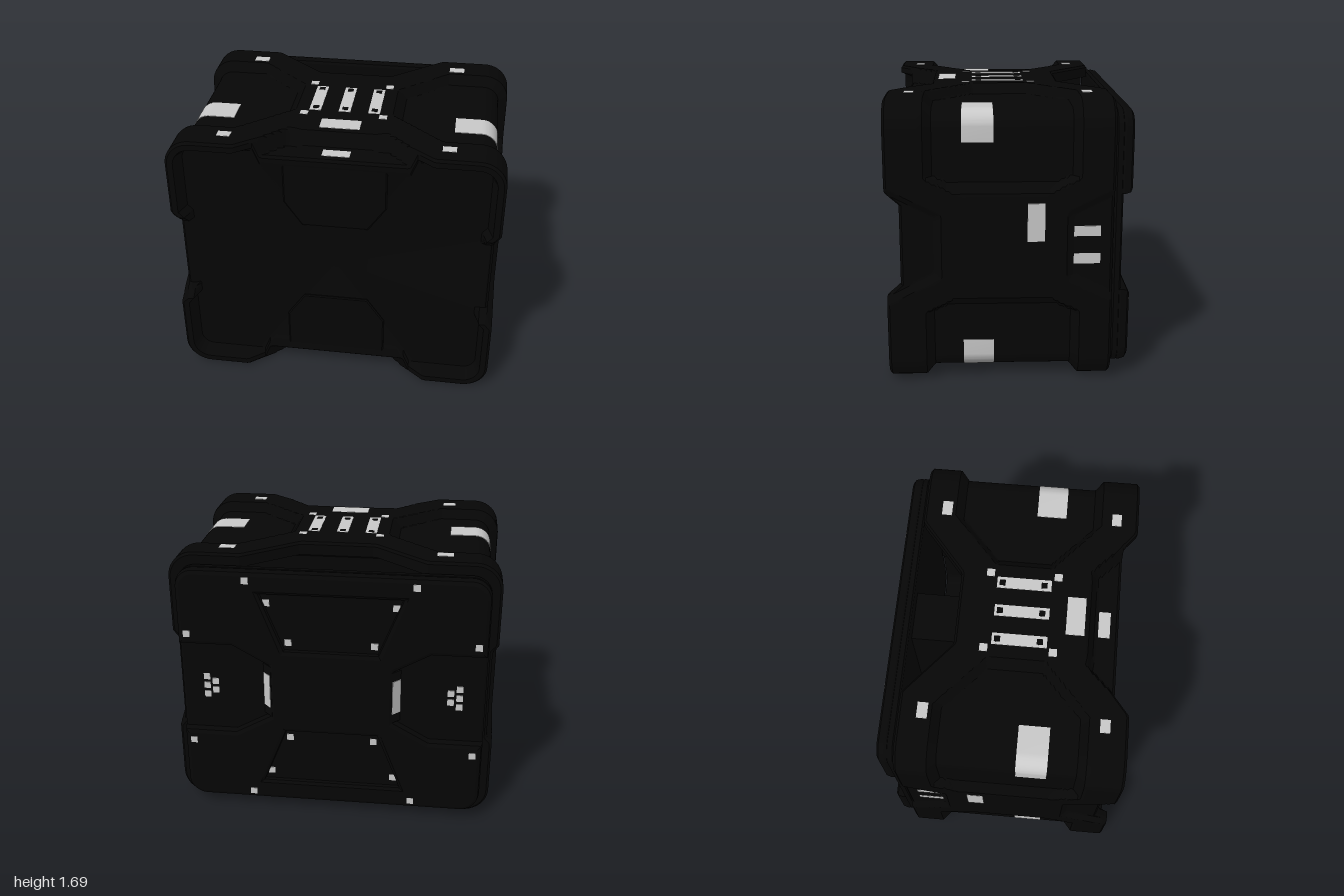
import * as THREE from 'three';
import { toCreasedNormals } from 'three/addons/utils/BufferGeometryUtils.js';

const HW = 0.99, HH = 0.84, CY = 0.85, R = 0.16;   // half width, half height, centre, corner radius
const FACE = 0.612;                                // front face depth
const clamp = (v, a = 0, b = 1) => Math.min(b, Math.max(a, v));
const ramp = (v, v0, v1, a, b) => a + (b - a) * clamp((v - v0) / (v1 - v0));

const black = new THREE.MeshStandardMaterial({ color: 0x060606 });
black.name = 'black casing';
const glow = new THREE.MeshStandardMaterial({ color: 0xcacaca });
glow.name = 'pale grey light';

// Counter-clockwise rounded rectangle with normals; flat = lies on the top or bottom
function outline() {
  const pts = [], ax = HW - R, ay = HH - R;
  const line = (x0, y0, x1, y1, nx, ny, n) => {
    for (let i = 0; i < n; i++) {
      const k = i / n;
      pts.push({ x: x0 + (x1 - x0) * k, y: y0 + (y1 - y0) * k, nx, ny });
    }
  };
  const arc = (cx, cy, start) => {
    for (let i = 0; i < 10; i++) {
      const a = start + (i / 10) * Math.PI / 2, nx = Math.cos(a), ny = Math.sin(a);
      pts.push({ x: cx + R * nx, y: cy + R * ny, nx, ny });
    }
  };
  line(HW, -ay, HW, ay, 1, 0, 74); arc(ax, ay, 0);
  line(ax, HH, -ax, HH, 0, 1, 90); arc(-ax, ay, Math.PI / 2);
  line(-HW, ay, -HW, -ay, -1, 0, 74); arc(-ax, -ay, Math.PI);
  line(-ax, -HH, ax, -HH, 0, -1, 90); arc(ax, -ay, Math.PI * 1.5);
  for (const p of pts) {
    p.flat = Math.abs(p.ny) > 0.7;
    p.t = p.flat ? Math.abs(p.x) : Math.abs(p.y);
  }
  return pts;
}

// Front and back edge of the shell, and how deep its panels are sunk
const frontEdge = p => p.flat ? ramp(p.t, 0.48, 0.58, 0.63, 0.71) : ramp(p.t, 0.24, 0.31, 0.63, 0.71);
const backEdge = p => p.flat ? ramp(p.t, 0.23, 0.55, -0.33, -0.6) : -0.6;
function sink(p, z) {
  const t = p.t;
  const start = p.flat ? 0.3 : 0.31;
  const half = p.flat ? clamp(0.17 + (t - start) * 0.9, 0, 0.45) : clamp(0.26 + (t - start) * 2, 0, 0.45);
  const pad = 0.06 * clamp(Math.min(t - start, half - Math.abs(z - 0.04)) / 0.05);
  const zf = p.flat ? 0.45 : 0.39;
  const front = (p.flat ? 0.1 : 0.035) * clamp(Math.min(z - zf, (p.flat ? 0.3 : 0.19) + (z - zf) * (p.flat ? 1 : 0.5) - t) / 0.04);
  const back = p.flat ? 0 : 0.035 * clamp(Math.min(-0.33 - z, 0.2 + (-0.33 - z) * 0.5 - t) / 0.04);
  return Math.max(pad, front, back);
}

// Shell lofted in rings: back wall, back rim, sculpted walls, front rim, front face
function shellGeometry() {
  const loop = outline(), n = loop.length, rows = [];
  rows.push(() => [null, -0.32]);
  rows.push(p => [sink(p, backEdge(p)) + 0.09, -0.32]);
  rows.push(p => [sink(p, backEdge(p)) + 0.08, backEdge(p)]);
  rows.push(p => [sink(p, backEdge(p)) + 0.015, backEdge(p)]);
  for (let i = 0; i <= 80; i++) rows.push(p => {
    const z = ramp(i, 0, 80, backEdge(p) + 0.015, frontEdge(p) - 0.015);
    return [sink(p, z), z];
  });
  rows.push(p => [sink(p, frontEdge(p)) + 0.015, frontEdge(p)]);
  rows.push(p => [sink(p, frontEdge(p)) + 0.05, frontEdge(p)]);
  rows.push(p => [sink(p, frontEdge(p)) + 0.08, FACE]);
  rows.push(() => [null, FACE]);
  const pos = [], depth = [], index = [];
  rows.forEach((row, r) => loop.forEach((p, i) => {
    const [inset, z] = row(p);
    depth.push(inset ?? 0);
    if (inset === null) pos.push(0, CY, z);
    else pos.push(p.x - p.nx * inset, CY + p.y - p.ny * inset, z);
  }));
  // Split each quad along the diagonal that follows the relief
  for (let r = 0; r < rows.length - 1; r++) for (let i = 0; i < n; i++) {
    const j = (i + 1) % n, a = r * n + i, b = r * n + j, c = a + n, d = b + n;
    if (r === 0) index.push(a, d, c);
    else if (r === rows.length - 2) index.push(a, b, c);
    else if (Math.abs(depth[a] - depth[d]) < Math.abs(depth[b] - depth[c])) index.push(a, b, d, a, d, c);
    else index.push(a, b, c, b, d, c);
  }
  const g = new THREE.BufferGeometry();
  g.setAttribute('position', new THREE.Float32BufferAttribute(pos, 3));
  g.setIndex(index);
  return toCreasedNormals(g, 0.6);
}

const polygon = pts => pts.map(([x, y]) => new THREE.Vector2(x, y));

// Rounded back plate outline; the outer layer has side grips and two centre recesses
function plateShape(outer) {
  const w = 0.93, h = 0.775, r = 0.12, s = new THREE.Shape();
  const grip = [[w, 0.29], [0.6, 0.29], [0.385, 0.17], [0.385, -0.17], [0.6, -0.29], [w, -0.29]];
  s.moveTo(-w + r, -h); s.lineTo(w - r, -h);
  s.absarc(w - r, -h + r, r, -Math.PI / 2, 0);
  if (outer) grip.forEach(([x, y]) => s.lineTo(x, -y));
  s.absarc(w - r, h - r, r, 0, Math.PI / 2);
  s.absarc(-w + r, h - r, r, Math.PI / 2, Math.PI);
  if (outer) grip.forEach(([x, y]) => s.lineTo(-x, y));
  s.absarc(-w + r, -h + r, r, Math.PI, Math.PI * 1.5);
  if (outer) for (const m of [1, -1])
    s.holes.push(new THREE.Path(polygon([[-0.42, m * 0.63], [0.42, m * 0.63], [0.28, m * 0.28], [-0.28, m * 0.28]])));
  return s;
}

export function createModel() {
  const model = new THREE.Group();
  model.name = 'crate';
  const add = (name, geo, mat, x = 0, y = 0, z = 0) => {
    const m = new THREE.Mesh(geo, mat);
    m.name = name;
    m.position.set(x, y, z);
    model.add(m);
    return m;
  };
  const box = (name, mat, w, h, d, x, y, z) => add(name, new THREE.BoxGeometry(w, h, d), mat, x, y, z);
  const T = 0.004;   // light thickness, half sunk into its surface

  add('shell', shellGeometry(), black);
  box('backPillar', black, 0.3, 1.3, 0.32, 0, CY, -0.47);

  // Thin raised panels on the front face
  for (const s of [1, -1]) {
    const shape = new THREE.Shape(polygon([[-0.31, -0.73], [0.31, -0.73], [0.31, -0.43], [0.2, -0.27], [-0.2, -0.27], [-0.31, -0.43]]));
    const m = add(s > 0 ? 'lowerFrontPanel' : 'upperFrontPanel',
      new THREE.ExtrudeGeometry(shape, { depth: 0.006, bevelSize: 0.008, bevelThickness: 0.006, bevelOffset: -0.008, bevelSegments: 1 }),
      black, 0, CY, FACE);
    if (s < 0) m.rotation.z = Math.PI;
  }

  // Back plate: core, notched outer layer, recess floors and sloped grip walls
  add('backPlateCore', new THREE.ExtrudeGeometry(plateShape(false),
    { depth: 0.03, bevelSize: 0.015, bevelThickness: 0.01, bevelOffset: -0.015, bevelSegments: 1 }), black, 0, CY, -0.645);
  add('backPlateOuter', new THREE.ExtrudeGeometry(plateShape(true),
    { depth: 0.005, bevelSize: 0.03, bevelThickness: 0.045, bevelOffset: -0.03, bevelSegments: 2 }), black, 0, CY, -0.665);
  for (const s of [1, -1]) box('recessFloor', black, 0.96, 0.44, 0.04, 0, CY + s * 0.46, -0.656);
  for (const m of [1, -1]) {
    // Prism profile in x and depth, stood upright
    const pts = [[0.365, 0.71], [0.365, 0.65], [0.425, 0.65]].map(([x, y]) => [m * x, y]);
    const wedge = new THREE.ExtrudeGeometry(new THREE.Shape(polygon(pts)), { depth: 0.34, bevelEnabled: false });
    add('gripSlope', wedge.translate(0, 0, -0.17).rotateX(-Math.PI / 2), black, 0, CY, 0);
  }

  // Lights on top and bottom
  for (const s of [1, -1]) {
    const y = CY + s * HH;
    for (const x of [-0.18, 0, 0.18]) {
      box('stripLight', glow, 0.072, T, 0.325, x, y, 0.05);
      for (const z of [-0.08, 0.17]) box('stripFastener', black, 0.036, T, 0.036, x, y + s * 0.0015, z);
    }
    box('frontRimLight', glow, 0.24, T, 0.11, 0, y, 0.37);
    box('frontStepLight', glow, 0.165, T, 0.07, 0, y - s * 0.1, 0.545);
    for (const m of [1, -1]) {
      for (const z of [-0.155, 0.25]) box('centreDotLight', glow, 0.048, T, 0.048, m * 0.24, y, z);
      box('rearCornerLight', glow, 0.095, T, 0.062, m * 0.65, y, -0.462);
      box('frontCornerLight', glow, 0.08, T, 0.058, m * 0.655, y, 0.577);
    }
  }

  // Bands that wrap the four long edges
  const cx = HW - R, cy = HH - R, r0 = 0.098, r1 = 0.103, band = new THREE.Shape();
  band.moveTo(cx + r1, 0.54);
  band.absarc(cx, cy, r1, 0, Math.PI / 2);
  band.lineTo(0.672, cy + r1);
  band.lineTo(0.672, cy + r0);
  band.absarc(cx, cy, r0, Math.PI / 2, 0, true);
  band.lineTo(cx + r0, 0.54);
  const bandGeo = toCreasedNormals(new THREE.ExtrudeGeometry(band, { depth: 0.18, bevelEnabled: false, curveSegments: 10 }).translate(0, 0, -0.09), 0.5);
  for (const [rx, ry, rz] of [[0, 0, 0], [0, 1, 0], [1, 0, 0], [0, 0, 1]])
    add('cornerBandLight', bandGeo, glow, 0, CY, 0.18).rotation.set(rx * Math.PI, ry * Math.PI, rz * Math.PI);

  for (const m of [1, -1]) {
    // Side lights
    box('sideTallLight', glow, T, 0.225, 0.1, m * HW, 0.992, -0.152);
    for (const y of [0.93, 0.765]) box('sideBarLight', glow, T, 0.062, 0.16, m * (HW - 0.035), y, -0.446);
    // Lights on the grip slopes and clusters in the grips
    box('gripSlopeLight', glow, 0.066, 0.22, T, m * 0.396, CY, -0.681).rotation.y = -m * Math.PI / 4;
    for (const y of [-0.06, 0, 0.06]) box('gripClusterLight', glow, 0.04, 0.042, T, m * 0.775, CY + y, -0.656);
    for (const y of [-0.03, 0.03]) box('gripClusterLight', glow, 0.04, 0.042, T, m * 0.722, CY + y, -0.656);
    // Small square lights on the back plate and in its recesses
    for (const s of [1, -1])
      for (const [x, y, z] of [[0.5, 0.72, 0.71], [0.87, 0.365, 0.71], [0.385, 0.575, 0.677], [0.26, 0.325, 0.677]])
        box('backDotLight', glow, 0.042, 0.042, T, m * x, CY + s * y, -z);
  }
  return model;
}
